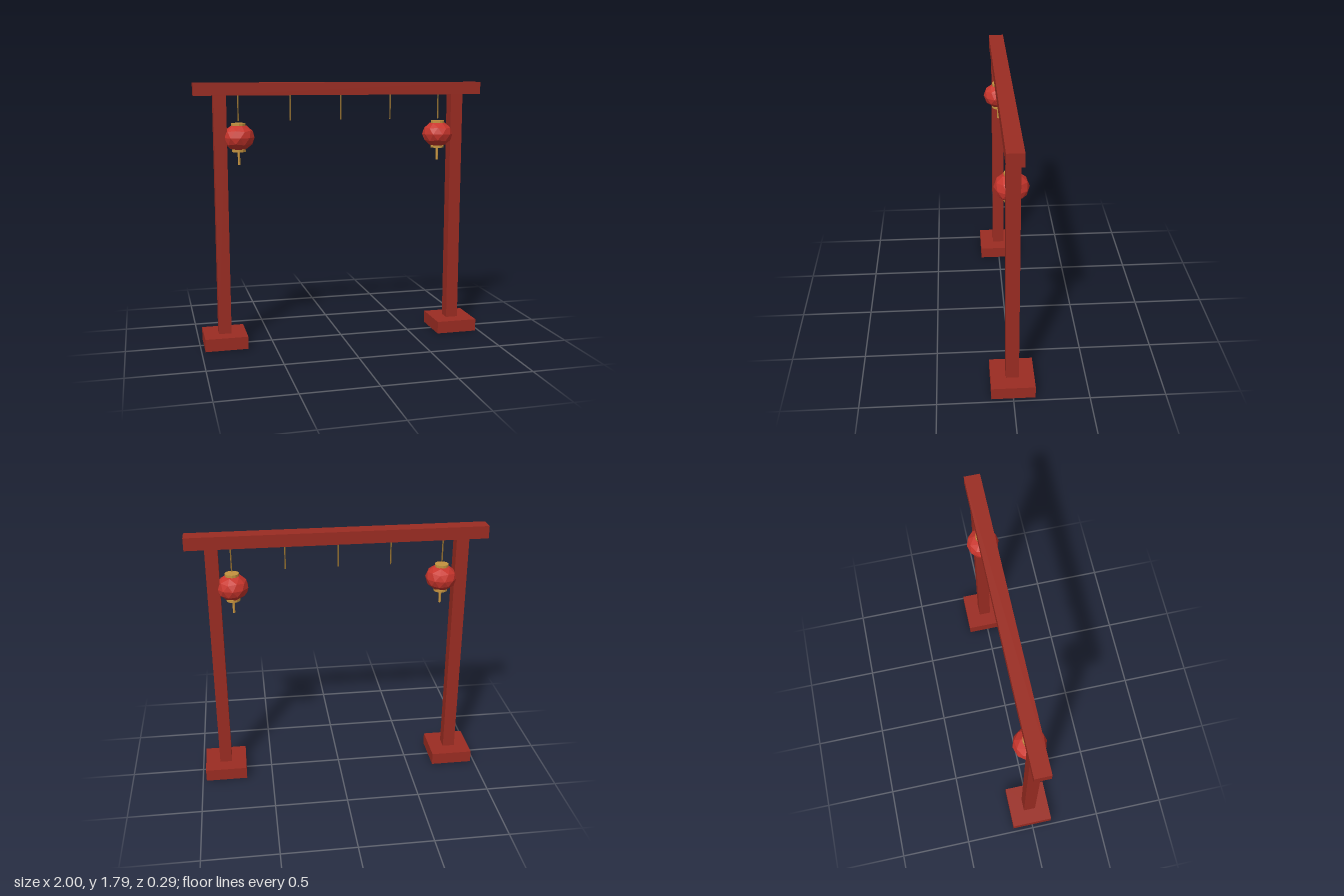
import * as THREE from 'three';

const mat = (name, color) => {
  const m = new THREE.MeshStandardMaterial({ color, flatShading: true });
  m.name = name;
  return m;
};

export function createModel() {
  const wood = mat('red painted wood', 0x9b2c22);
  const paper = mat('lantern red', 0xc8352c);
  const gold = mat('gold', 0xc4923e);
  const cord = mat('cord brown', 0x94702f);

  const root = new THREE.Group();
  root.name = 'lanternGate';

  const add = (parent, name, geometry, material, x, y, z = 0) => {
    const mesh = new THREE.Mesh(geometry, material);
    mesh.name = name;
    mesh.position.set(x, y, z);
    parent.add(mesh);
    return mesh;
  };
  const box = (name, w, y0, y1, d, x) =>
    add(root, name, new THREE.BoxGeometry(w, y1 - y0, d), wood, x, (y0 + y1) / 2);
  const rod = (parent, name, r, y0, y1, sides, material, x) =>
    add(parent, name, new THREE.CylinderGeometry(r, r, y1 - y0, sides), material, x, (y0 + y1) / 2);

  // Top beam
  box('beam', 2, 1.708, 1.793, 0.106, 0);

  // Faceted lantern body: icosphere standing on a vertex, slightly squashed
  const bodyGeometry = new THREE.IcosahedronGeometry(1, 1);
  bodyGeometry.rotateZ(-Math.atan(2 / (1 + Math.sqrt(5))));
  bodyGeometry.scale(0.108, 0.09, 0.108);

  for (const side of [-1, 1]) {
    const label = side > 0 ? 'left' : 'right';

    // Foot and post
    box(label + 'Foot', 0.29, 0, 0.086, 0.29, side * 0.829);
    box(label + 'Post', 0.085, 0.086, 1.708, 0.086, side * 0.829);

    // Lantern with caps and tassel
    const lantern = new THREE.Group();
    lantern.name = label + 'Lantern';
    lantern.position.x = side * 0.705;
    root.add(lantern);
    add(lantern, 'lanternBody', bodyGeometry, paper, 0, 1.43);
    rod(lantern, 'topCap', 0.047, 1.507, 1.525, 12, gold, 0);
    rod(lantern, 'bottomCap', 0.047, 1.333, 1.349, 12, gold, 0);
    rod(lantern, 'tassel', 0.009, 1.245, 1.335, 6, gold, 0);
  }

  // Five hanging cords under the beam
  for (let i = -2; i <= 2; i++) {
    rod(root, 'cord', 0.005, 1.539, 1.71, 6, cord, i * 0.3525);
  }

  return root;
}
